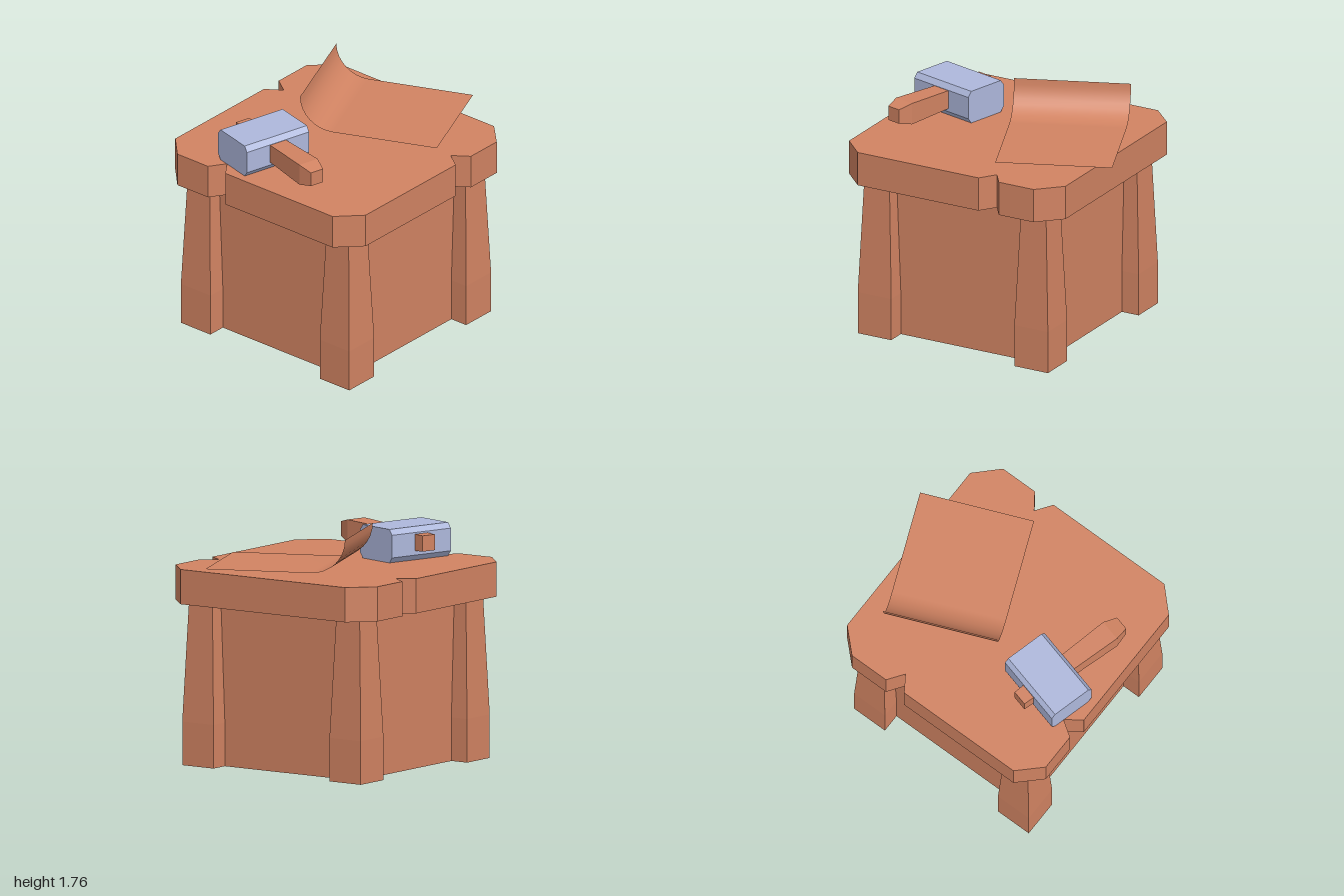
import * as THREE from 'three';

// Square bar whose half-width follows rings of [height, halfWidth], with flat faces
function squareBar(rings) {
  const n = rings.length - 1;
  const geo = new THREE.BoxGeometry(2, 1, 2, 1, n, 1);
  const p = geo.attributes.position;
  for (let i = 0; i < p.count; i++) {
    const [h, w] = rings[Math.round((p.getY(i) + 0.5) * n)];
    p.setXYZ(i, p.getX(i) * w, h, p.getZ(i) * w);
  }
  const flat = geo.toNonIndexed();
  flat.computeVertexNormals();
  return flat;
}

function extrude(points, depth) {
  const shape = new THREE.Shape(points.map(([x, y]) => new THREE.Vector2(x, y)));
  return new THREE.ExtrudeGeometry(shape, { depth, bevelEnabled: false });
}

export function createModel() {
  const model = new THREE.Group();
  model.name = 'workbench';

  const wood = new THREE.MeshStandardMaterial({ color: 0xd18362, side: THREE.DoubleSide });
  wood.name = 'wood';
  const metal = new THREE.MeshStandardMaterial({ color: 0xaeb8dc });
  metal.name = 'metal';

  const add = (parent, name, geo, mat) => {
    const mesh = new THREE.Mesh(geo, mat);
    mesh.name = name;
    parent.add(mesh);
    return mesh;
  };

  // Body, with its vertical edges running down the leg centres
  add(model, 'body', new THREE.BoxGeometry(1.31, 1.2, 1.32), wood).position.set(-0.095, 0.6, 0);

  // Four tapered legs
  const legGeo = squareBar([[0, 0.14], [0.32, 0.14], [1.2, 0.105]]);
  for (const x of [-0.75, 0.56])
    for (const z of [-0.66, 0.66])
      add(model, 'leg', legGeo, wood).position.set(x, 0, z);

  // Table top: cut corners and three V-shaped nicks, outline as [x, -z]
  const topGeo = extrude([
    [-1, -0.735], [-0.83, -0.905],
    [0.18, -0.905], [0.265, -0.785], [0.35, -0.905],
    [0.64, -0.905], [0.81, -0.735],
    [0.81, 0.74], [0.64, 0.905],
    [0.33, 0.905], [0.245, 0.785], [0.165, 0.905],
    [-0.83, 0.905], [-1, 0.74],
    [-1, 0.45], [-0.88, 0.37], [-1, 0.285],
  ], 0.255);
  topGeo.rotateX(-Math.PI / 2);
  add(model, 'tableTop', topGeo, wood).position.y = 1.2;

  // Hammer lying on the table
  const hammer = new THREE.Group();
  hammer.name = 'hammer';
  hammer.position.set(-0.635, 1.578, -0.23);
  hammer.rotation.y = -0.257;
  model.add(hammer);

  const d = 0.183, h = 0.123, c = 0.03, v = 0.04;
  const headGeo = extrude([
    [-d + c, -h], [d - c, -h], [d, -h + v], [d, h - v],
    [d - c, h], [-d + c, h], [-d, h - v], [-d, -h + v],
  ], 0.55);
  headGeo.translate(0, 0, -0.275);
  headGeo.rotateY(Math.PI / 2);
  add(hammer, 'hammerHead', headGeo, metal);

  const handleGeo = squareBar([[-0.265, 0.058], [0.568, 0.081], [0.675, 0.054]]);
  handleGeo.rotateX(Math.PI / 2);
  add(hammer, 'hammerHandle', handleGeo, wood).position.y = 0.01;

  // Paper sheet: quarter-circle curl at the back edge, then flat
  const r = 0.25, steps = 8;
  const profile = [];
  for (let i = 0; i <= steps; i++) {
    const a = (i / steps) * Math.PI / 2;
    profile.push([r * (1 - Math.cos(a)), r * (1 - Math.sin(a))]);
  }
  profile.push([1.042, 0]);
  const sheet = new THREE.PlaneGeometry(0.855, 1, 1, profile.length - 1);
  const p = sheet.attributes.position;
  for (let i = 0; i < p.count; i++) {
    const [z, y] = profile[Math.floor(i / 2)];
    p.setXYZ(i, p.getX(i) + 0.4275, y, z);
  }
  sheet.computeVertexNormals();
  const paper = add(model, 'paperSheet', sheet, wood);
  paper.position.set(-0.192, 1.512, -0.26);
  paper.rotation.y = 0.39;

  return model;
}
